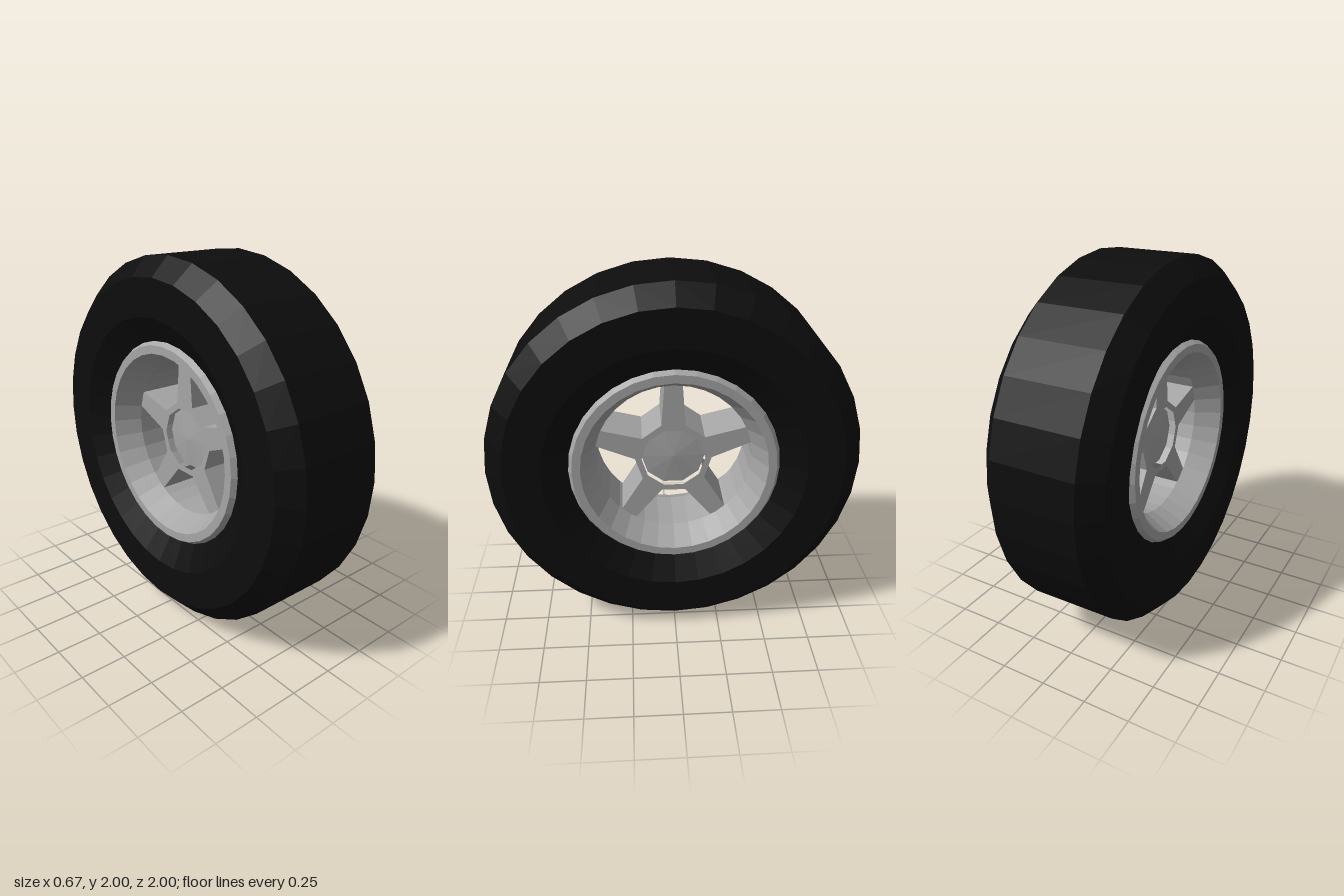
import * as THREE from 'three';

export function createModel() {
  const group = new THREE.Group();
  const rubber = new THREE.MeshStandardMaterial({ color: 0x0d0d0d, flatShading: true });
  rubber.name = 'black rubber';
  const alloy = new THREE.MeshStandardMaterial({ color: 0xa6a6a6, flatShading: true });
  alloy.name = 'grey alloy';

  const add = (name, geometry, material) => {
    const mesh = new THREE.Mesh(geometry, material);
    mesh.name = name;
    mesh.position.y = 1;
    group.add(mesh);
  };

  // Revolve [radius, x] points around the axle; the half profile is mirrored in x
  const revolve = (half, segments) => {
    const mirrored = half.map(([r, x]) => [r, -x]).reverse();
    const points = [...half, ...mirrored].map(([r, x]) => new THREE.Vector2(r, x));
    return new THREE.LatheGeometry(points, segments).rotateZ(-Math.PI / 2);
  };

  // Tyre: inner bead, sidewall, chamfered shoulder, flat tread
  add('tyre', revolve([[0.56, -0.25], [0.7, -0.335], [0.9, -0.335], [1, -0.235]], 32), rubber);

  // Rim: bevelled lip and a barrel narrowing to the middle
  add('rim', revolve([[0.565, 0.25], [0.545, 0.28], [0.5, 0.28], [0.43, 0.14]], 32), alloy);

  // Five tapered spokes growing out of a ten-sided hub
  const polar = (r, a) => new THREE.Vector2(r * Math.sin(a), r * Math.cos(a));
  const outline = [];
  for (let i = 0; i < 5; i++) {
    const a = (i * Math.PI * 2) / 5;
    const tip = Math.atan2(0.048, 0.43), tipR = Math.hypot(0.048, 0.43);
    outline.push(polar(0.21, a - Math.PI / 10), polar(tipR, a - tip),
      polar(tipR, a + tip), polar(0.21, a + Math.PI / 10));
  }
  const spider = new THREE.Shape(outline);
  const hole = [];
  for (let i = 0; i < 10; i++) hole.push(polar(0.175, ((i + 0.5) * Math.PI) / 5));
  spider.holes.push(new THREE.Path(hole));
  const spokes = new THREE.ExtrudeGeometry(spider, { depth: 0.28, bevelEnabled: false });
  add('spokes', spokes.translate(0, 0, -0.14).rotateY(Math.PI / 2), alloy);

  // Recessed, slightly coned cap on each side of the hub
  add('hubCaps', revolve([[0, -0.115], [0.175, -0.1]], 10), alloy);

  return group;
}
